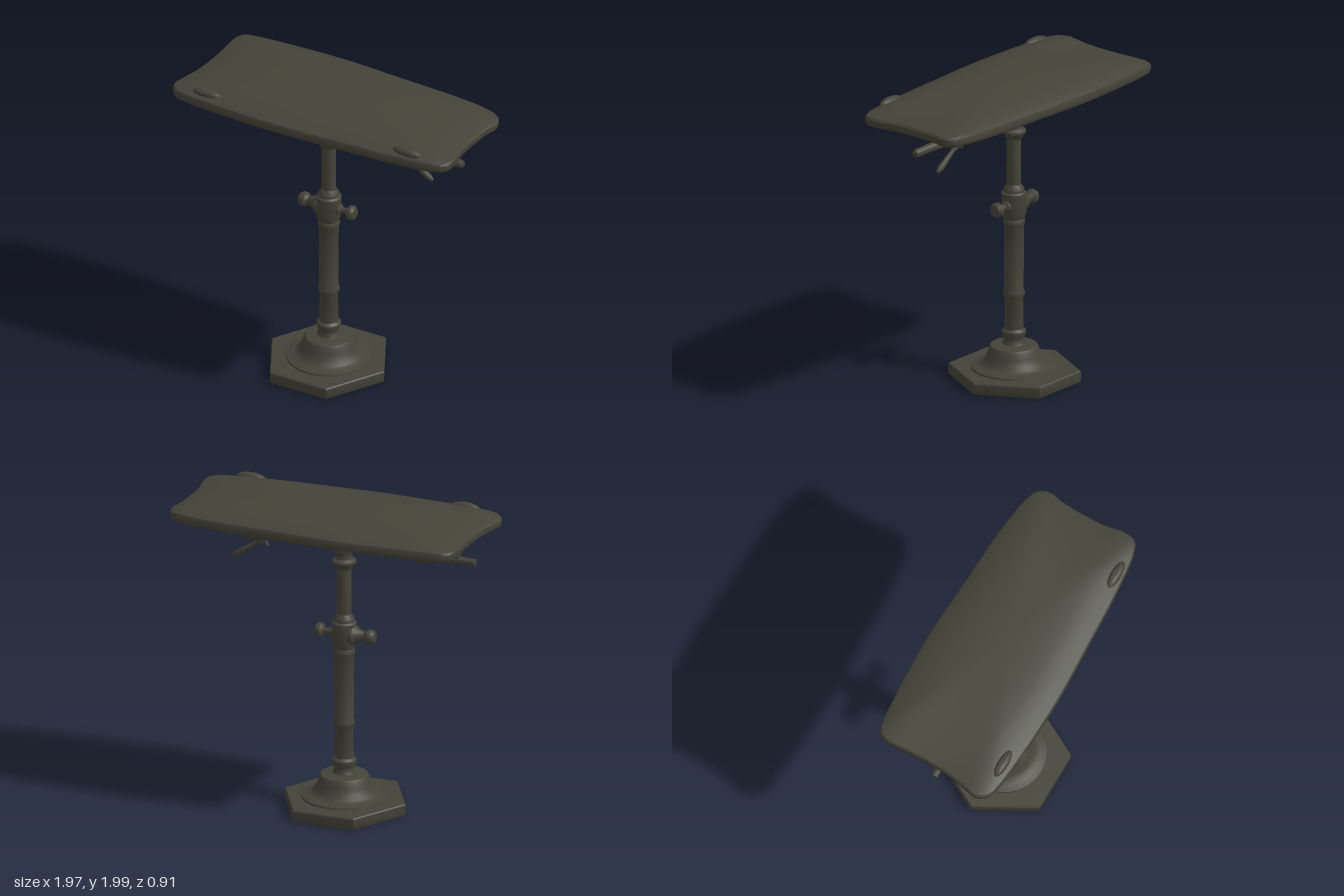
import * as THREE from 'three';
import { toCreasedNormals } from 'three/addons/utils/BufferGeometryUtils.js';

const CX = -0.065; // column axis

export function createModel() {
  const group = new THREE.Group();
  const darkIron = new THREE.MeshStandardMaterial({ color: 0x434338 });
  darkIron.name = 'dark iron';

  function add(name, geometry, x = 0, y = 0, z = 0) {
    const mesh = new THREE.Mesh(toCreasedNormals(geometry, 0.6), darkIron);
    mesh.name = name;
    mesh.position.set(x, y, z);
    group.add(mesh);
    return mesh;
  }
  // Turned part from [radius, height] pairs
  const turned = (pts, sides = 28) =>
    new THREE.LatheGeometry(pts.map(([r, h]) => new THREE.Vector2(r, h)), sides);

  // Hexagonal foot with a corner on each end of x
  const foot = turned([[0, 0.005], [0.395, 0.005], [0.402, 0.015], [0.402, 0.074], [0.395, 0.082], [0, 0.088]], 6);
  foot.rotateY(Math.PI / 2);
  foot.scale(1, 1, 1.05);
  add('foot', foot, CX - 0.007);

  // Bell on the foot
  add('bell', turned([[0.27, 0.075], [0.265, 0.095], [0.22, 0.105], [0.2, 0.115], [0.18, 0.14],
    [0.165, 0.175], [0.155, 0.215], [0.145, 0.23], [0.08, 0.24], [0, 0.24]]), CX);

  // Lower column with rings
  add('lowerColumn', turned([[0.08, 0.23], [0.065, 0.255], [0.062, 0.275], [0.076, 0.305], [0.076, 0.325],
    [0.06, 0.34], [0.057, 0.54], [0.068, 0.56], [0.068, 0.575], [0.06, 0.595], [0.062, 1.01],
    [0.068, 1.025], [0.068, 1.05], [0.056, 1.07], [0.065, 1.09]]), CX);

  // Height clamp
  add('clamp', turned([[0.06, 1.05], [0.076, 1.09], [0.078, 1.225], [0.066, 1.235],
    [0.066, 1.25], [0.05, 1.275], [0.044, 1.285]]), CX);
  add('upperColumn', turned([[0.045, 1.2], [0.045, 1.6]]), CX);

  // Clamp knobs, one on each side
  const rightKnob = turned([[0.068, 0.03], [0.066, 0.07], [0.04, 0.1], [0.03, 0.14], [0.034, 0.147],
    [0.046, 0.158], [0.047, 0.185], [0.035, 0.204], [0, 0.21]], 18);
  rightKnob.rotateZ(Math.PI / 2);
  add('rightKnob', rightKnob, CX, 1.15);
  const leftKnob = turned([[0.04, 0.03], [0.035, 0.085], [0.02, 0.095], [0.02, 0.13], [0.035, 0.137],
    [0.047, 0.15], [0.047, 0.172], [0.035, 0.188], [0, 0.193]], 18);
  leftKnob.rotateZ(-Math.PI / 2);
  add('leftKnob', leftKnob, CX, 1.15);

  // Collar and tilt joint
  add('collar', turned([[0.045, 1.58], [0.056, 1.59], [0.06, 1.605], [0.076, 1.62], [0.076, 1.635],
    [0.055, 1.65], [0.05, 1.675], [0.06, 1.7], [0.062, 1.75], [0.045, 1.785], [0, 1.79]]), CX);
  const bolt = turned([[0, -0.085], [0.025, -0.08], [0.03, -0.06], [0.045, -0.05],
    [0.045, 0.05], [0.03, 0.06], [0.025, 0.08], [0, 0.085]], 18);
  bolt.rotateX(Math.PI / 2);
  add('tiltBolt', bolt, CX + 0.01, 1.72);

  // Crossbar with two swellings
  const bar = turned([[0, -0.943], [0.022, -0.94], [0.026, -0.78], [0.03, -0.7], [0.046, -0.62],
    [0.05, -0.57], [0.037, -0.545], [0.04, -0.1], [0.037, 0.41], [0.05, 0.47], [0.056, 0.53],
    [0.048, 0.59], [0.03, 0.64], [0.027, 0.88], [0.02, 0.896], [0, 0.898]], 20);
  bar.rotateZ(-Math.PI / 2);
  add('crossbar', bar, 0, 1.737);

  // Posts carrying the top
  add('rightPost', turned([[0.022, 1.74], [0.022, 1.82], [0.03, 1.85], [0.032, 1.875]], 16), -0.82);
  add('leftPost', turned([[0.035, 1.75], [0.028, 1.8], [0.034, 1.815], [0.024, 1.825],
    [0.024, 1.84], [0.038, 1.85], [0.038, 1.875]], 16), 0.54);

  // Tapered locking lever and its short tail
  const lever = turned([[0, -0.005], [0.025, 0], [0.014, 0.06], [0.018, 0.13], [0.022, 0.2], [0.012, 0.238], [0, 0.24]], 14);
  const leverMesh = add('lever', lever, 0.48, 1.69);
  leverMesh.rotation.z = -Math.PI / 2 - 0.6;
  const tail = add('leverTail', turned([[0, 0], [0.01, 0.005], [0.018, 0.05], [0.02, 0.08]], 12), 0.44, 1.65);
  tail.rotation.z = -0.6;

  // Table top: one outline repeated at several scales and heights
  const outline = [
    [-0.935, -0.35], [-0.91, -0.4], [-0.84, -0.42], [-0.25, -0.455], [0.2, -0.435], [0.65, -0.41],
    [0.86, -0.378], [0.95, -0.34], [0.98, -0.27], [0.962, -0.17], [0.957, 0.12], [0.98, 0.26],
    [0.965, 0.34], [0.9, 0.375], [0.65, 0.41], [0.2, 0.435], [-0.25, 0.45], [-0.85, 0.415],
    [-0.94, 0.39], [-0.985, 0.32], [-0.97, 0.24], [-0.942, 0.1], [-0.932, -0.1]];
  const loop = new THREE.CatmullRomCurve3(outline.map(([x, z]) => new THREE.Vector3(x, 0, z)), true)
    .getSpacedPoints(120).slice(0, 120);
  const rings = [[0.001, 1.867], [0.95, 1.867], [0.985, 1.869], [0.997, 1.878], [1, 1.89], [1, 1.915],
    [0.99, 1.928], [0.96, 1.937], [0.85, 1.958], [0.72, 1.975], [0.6, 1.986], [0.4, 1.993], [0.2, 1.997], [0.001, 1.998]];
  const positions = [], index = [], n = loop.length;
  rings.forEach(([s, y], i) => loop.forEach((p, j) => {
    positions.push(p.x * s, y, p.z * s);
    if (i === 0) return;
    const k = (j + 1) % n, a = (i - 1) * n + j, b = (i - 1) * n + k, c = i * n + k, d = i * n + j;
    index.push(a, d, b, b, d, c);
  }));
  const top = new THREE.BufferGeometry();
  top.setAttribute('position', new THREE.Float32BufferAttribute(positions, 3));
  top.setIndex(index);
  add('tableTop', top);

  // Low bumps along the front edge of the top
  for (const [x, z, w] of [[-0.72, 0.365, 0.1], [0.7, 0.355, 0.1]]) {
    const bump = new THREE.SphereGeometry(1, 20, 12);
    bump.scale(w, 0.035, 0.035);
    add('edgeBump', bump, x, 1.945, z);
  }
  return group;
}
